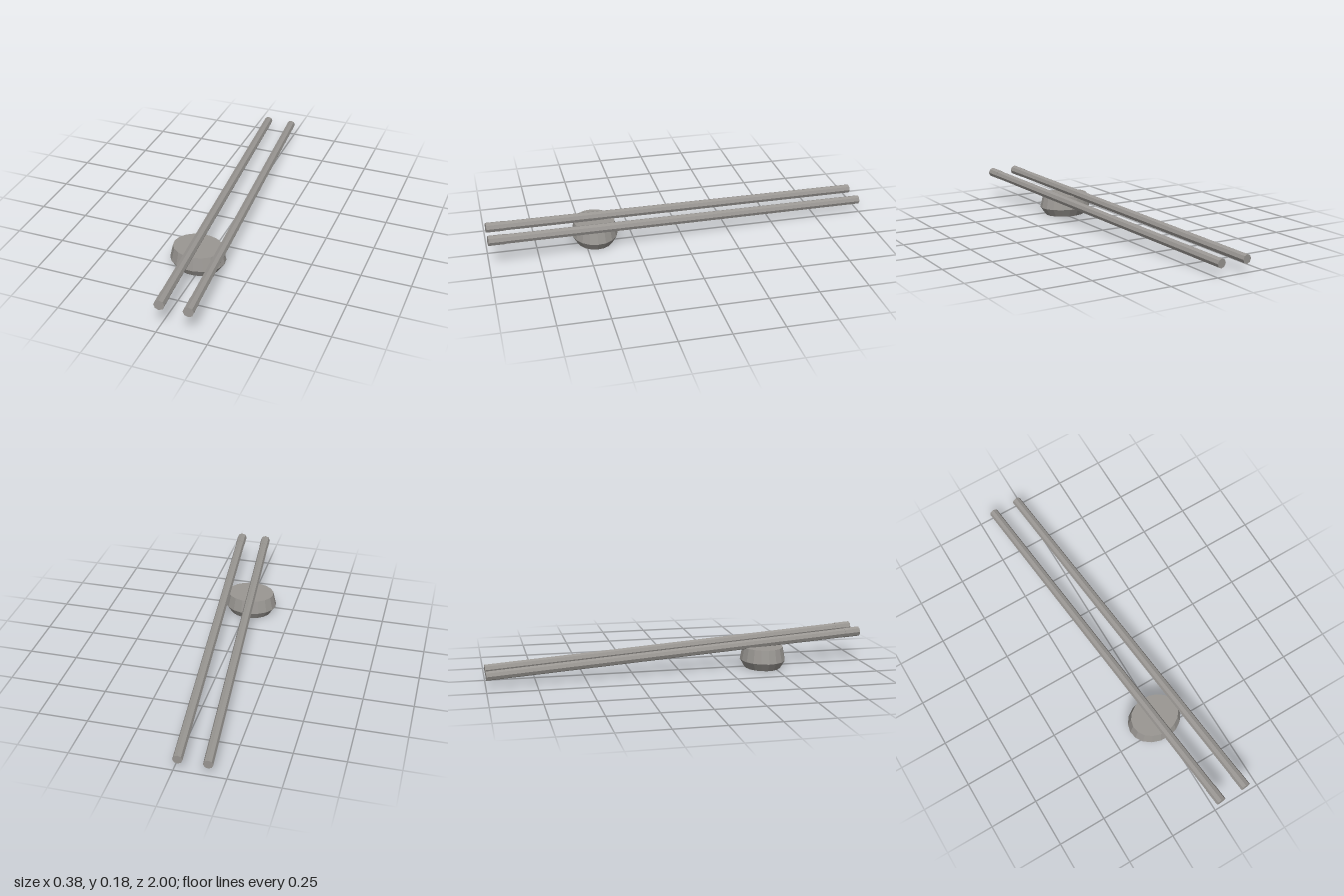
import * as THREE from 'three';

const grey = new THREE.MeshStandardMaterial({ color: 0x9a9793, flatShading: true });
grey.name = 'warm grey';

// Straight octagonal rod between two points
function rod(name, from, to, rFrom, rTo) {
  const dir = to.clone().sub(from);
  const geo = new THREE.CylinderGeometry(rTo, rFrom, dir.length(), 8);
  geo.rotateX(Math.PI / 2);
  const mesh = new THREE.Mesh(geo, grey);
  mesh.name = name;
  mesh.position.copy(from).add(to).multiplyScalar(0.5);
  mesh.lookAt(to);
  return mesh;
}

// Stick with a slightly thicker cap at its front end
function stick(name, x) {
  const group = new THREE.Group();
  group.name = name;
  const back = new THREE.Vector3(x - 0.184, 0.063, -0.998);
  const front = new THREE.Vector3(x, 0.156, 0.998);
  const joint = back.clone().lerp(front, 0.957);
  group.add(rod('shaft', back, joint, 0.0235, 0.0245));
  group.add(rod('endCap', joint, front, 0.026, 0.026));
  return group;
}

export function createModel() {
  const model = new THREE.Group();
  model.name = 'sticksOnRest';

  // Oval rest: flared foot below a tapered body
  const profile = [[0, 0], [0.112, 0], [0.141, 0.042], [0.125, 0.112], [0, 0.112]]
    .map(([r, y]) => new THREE.Vector2(r, y));
  const rest = new THREE.Mesh(new THREE.LatheGeometry(profile, 18, 0.14), grey);
  rest.name = 'rest';
  rest.scale.z = 0.835;
  rest.position.set(-0.021, 0, 0.448);
  model.add(rest);

  // Pair of parallel sticks
  model.add(stick('rightStick', 0.02), stick('leftStick', 0.162));
  return model;
}
